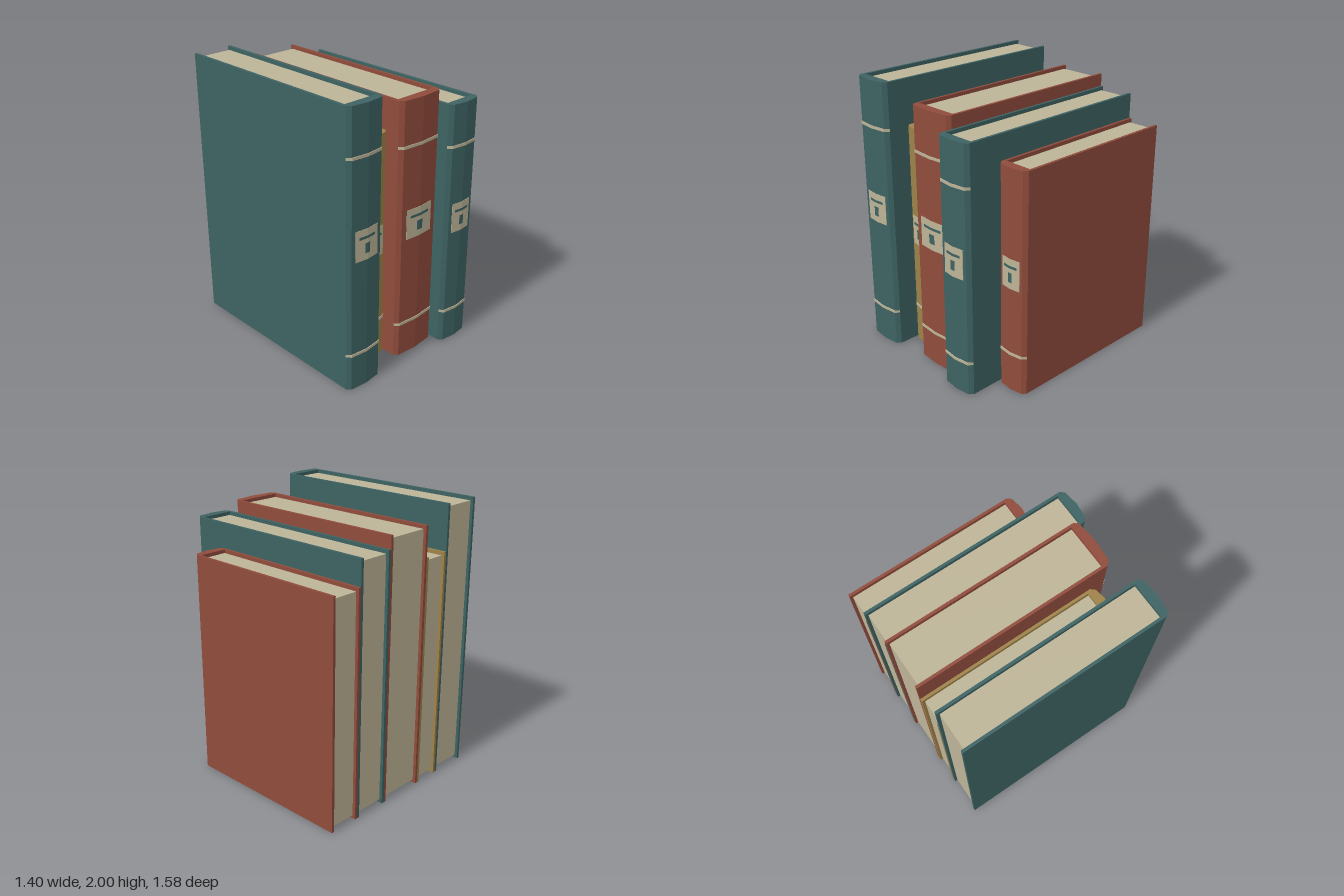
import * as THREE from 'three';

const BACK = -0.79;      // shared back plane of all books
const BOARD = 0.02;      // cover board thickness
const SPINE = 0.07;      // spine depth
const CHAMFER = 0.025;   // width of the spine's bevelled corner
const DROP = 0.014;      // fall of the spine from its ridge to the bevel

const mat = (name, color) => {
  const m = new THREE.MeshStandardMaterial({ color });
  m.name = name;
  return m;
};

// Extrudes an outline of [x, z] points upward from y0 to y1.
function prism(points, y0, y1) {
  const shape = new THREE.Shape(points.map(([x, z]) => new THREE.Vector2(x, -z)));
  const geo = new THREE.ExtrudeGeometry(shape, { depth: y1 - y0, bevelEnabled: false });
  geo.rotateX(-Math.PI / 2);
  geo.translate(0, y0, 0);
  return geo;
}

function box(x0, x1, y0, y1, z0, z1) {
  const geo = new THREE.BoxGeometry(x1 - x0, y1 - y0, z1 - z0);
  geo.translate((x0 + x1) / 2, (y0 + y1) / 2, (z0 + z1) / 2);
  return geo;
}

function makeBook({ x0, x1, height, front, cover, bands, labelY }, paper, ink) {
  const book = new THREE.Group();
  const add = (name, geo, material) => {
    const mesh = new THREE.Mesh(geo, material);
    mesh.name = name;
    book.add(mesh);
  };
  const w = x1 - x0;
  const mid = (x0 + x1) / 2;
  const hinge = front - SPINE;

  // Faceted front edge of the spine, pushed forward by an offset
  const ridge = (o) => [
    [x0, front - 0.042],
    [x0 + CHAMFER, front - DROP + o],
    [mid, front + o],
    [x1 - CHAMFER, front - DROP + o],
    [x1, front - 0.042],
  ];

  // Boards, spine and page block
  add('leftBoard', box(x1 - BOARD, x1, 0, height, BACK, hinge), cover);
  add('rightBoard', box(x0, x0 + BOARD, 0, height, BACK, hinge), cover);
  add('spine', prism([[x0, hinge], ...ridge(0), [x1, hinge]], 0, height), cover);
  add('pages', box(x0 + BOARD + 0.003, x1 - BOARD - 0.003, 0.025, height - 0.025, BACK + 0.02, hinge), paper);

  // Raised bands wrapping the spine
  for (const y of bands) {
    const outer = ridge(0.005);
    outer[0][0] -= 0.001;
    outer[4][0] += 0.001;
    add('spineBand', prism([...outer, ...ridge(0).reverse().slice(1, 4)], y - 0.01, y + 0.01), paper);
  }

  // Thin plates that follow the slope of the spine
  const plate = (name, width, y, h, from, to, material) => {
    const fall = DROP * (width / 2) / (w / 2 - CHAMFER);
    const edge = (o) => [[mid - width / 2, front - fall + o], [mid, front + o], [mid + width / 2, front - fall + o]];
    add(name, prism([...edge(to), ...edge(from).reverse()], y - h / 2, y + h / 2), material);
  };
  plate('label', w * 0.64, labelY, 0.217, 0, 0.003, paper);
  plate('labelBar', w * 0.46, labelY + 0.051, 0.018, 0.003, 0.005, ink);
  plate('labelBlock', w * 0.135, labelY - 0.026, 0.07, 0.003, 0.005, ink);
  return book;
}

export function createModel() {
  const teal = mat('teal cloth', 0x3e6363);
  const ochre = mat('ochre cloth', 0x9e8249);
  const red = mat('red cloth', 0x904c3c);
  const paper = mat('cream paper', 0xbdb497);

  const books = [
    { x0: -0.70, x1: -0.40, height: 2.0, front: 0.742, cover: teal, bands: [1.67, 0.27], labelY: 1.068 },
    { x0: -0.40, x1: -0.19, height: 1.675, front: 0.575, cover: ochre, bands: [0.295], labelY: 0.912 },
    { x0: -0.19, x1: 0.18, height: 1.895, front: 0.69, cover: red, bands: [1.58, 0.255], labelY: 1.018 },
    { x0: 0.18, x1: 0.455, height: 1.805, front: 0.785, cover: teal, bands: [1.51, 0.245], labelY: 0.977 },
    { x0: 0.455, x1: 0.70, height: 1.625, front: 0.525, cover: red, bands: [0.287], labelY: 0.89 },
  ];

  const model = new THREE.Group();
  model.name = 'bookRow';
  books.forEach((spec, i) => {
    const book = makeBook(spec, paper, teal);
    book.name = `book${i + 1}`;
    model.add(book);
  });
  return model;
}
